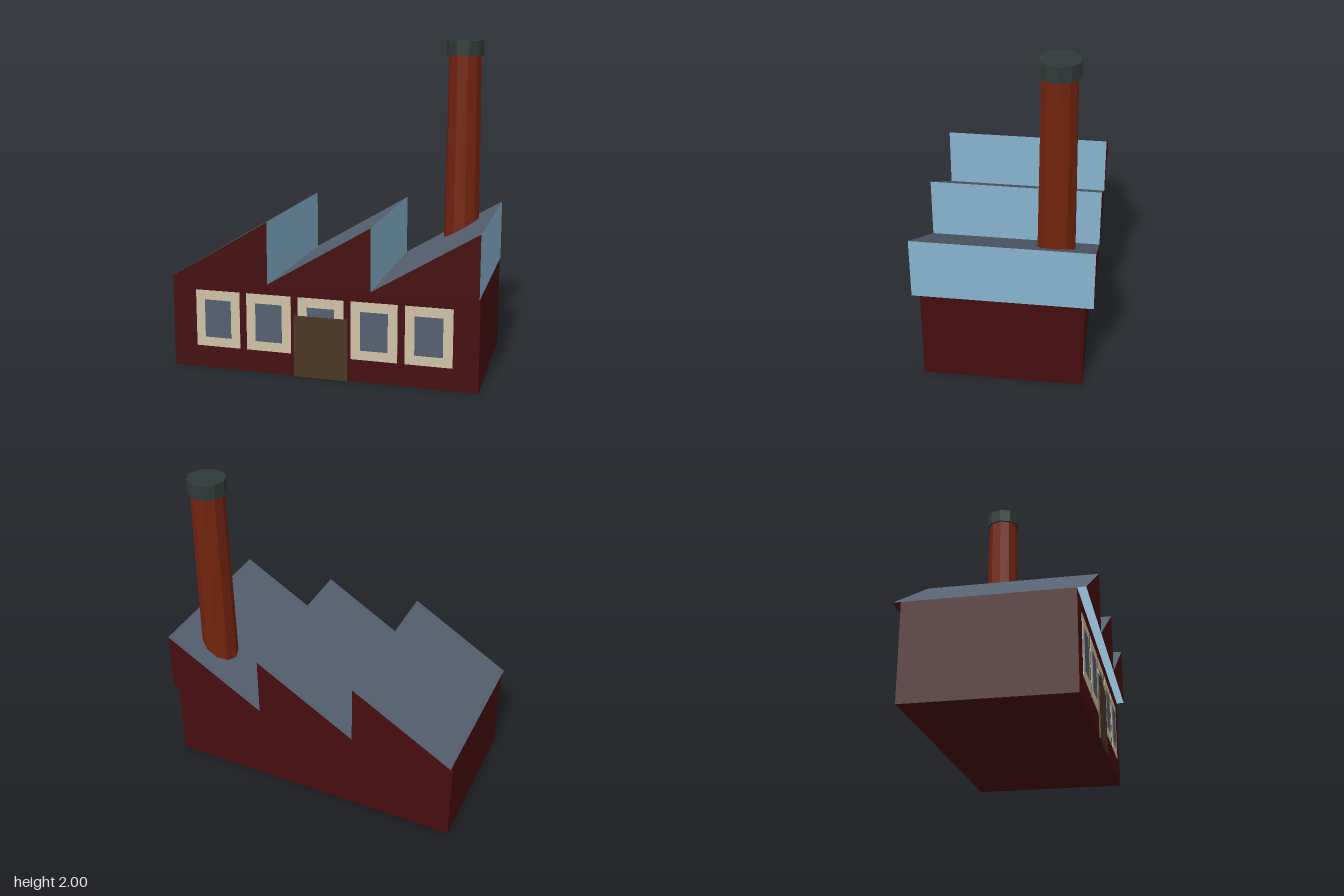
import * as THREE from 'three';

const mat = (name, color, extra = {}) => {
  const m = new THREE.MeshStandardMaterial({ color, ...extra });
  m.name = name;
  return m;
};

// Flat panel from coplanar corners, listed counter-clockwise
function panel(name, corners, material) {
  const g = new THREE.BufferGeometry();
  g.setAttribute('position', new THREE.Float32BufferAttribute(corners.flat(), 3));
  g.setIndex(corners.length === 4 ? [0, 1, 2, 0, 2, 3] : [0, 1, 2]);
  g.computeVertexNormals();
  const mesh = new THREE.Mesh(g, material);
  mesh.name = name;
  return mesh;
}

function box(name, w, h, d, x, y, z, material) {
  const mesh = new THREE.Mesh(new THREE.BoxGeometry(w, h, d), material);
  mesh.name = name;
  mesh.position.set(x, y, z);
  return mesh;
}

export function createModel() {
  const open = { side: THREE.DoubleSide };
  const wall = mat('darkRedWall', 0x450d0f, open);
  const slate = mat('slate', 0x556071, open);
  const glass = mat('skylightGlass', 0x87b5d0, open);
  const cream = mat('creamFrame', 0xd0c3a5);
  const wood = mat('brownDoor', 0x4c3624);
  const brick = mat('chimneyBrick', 0x73240f, { flatShading: true });
  const iron = mat('darkCap', 0x2f3a38, { flatShading: true });

  const model = new THREE.Group();
  model.name = 'factory';
  const W = 0.95, eave = 0.573, ridge = 0.953, D = 0.475, R = 0.523;

  model.add(box('hall', 2 * W, eave, 2 * D, 0, eave / 2, 0, wall));

  // Saw-tooth roof, open underneath, overhanging front and back
  for (let i = 0; i < 3; i++) {
    const x0 = -W + (i * 2 * W) / 3, x1 = x0 + (2 * W) / 3;
    const tooth = new THREE.Group();
    tooth.name = 'roofTooth' + (i + 1);
    tooth.add(
      panel('roofSlope', [[x0, eave, R], [x1, ridge, R], [x1, ridge, -R], [x0, eave, -R]], slate),
      panel('skylight', [[x1, eave, R], [x1, eave, -R], [x1, ridge, -R], [x1, ridge, R]], glass),
      panel('frontGable', [[x0, eave, R], [x1, eave, R], [x1, ridge, R]], wall),
      panel('backGable', [[x1, eave, -R], [x0, eave, -R], [x1, ridge, -R]], wall)
    );
    model.add(tooth);
  }

  // Front windows: frame plate with a pane on it
  for (let i = -2; i <= 2; i++) {
    const win = new THREE.Group();
    win.name = 'window' + (i + 3);
    win.position.set(i * 0.328, 0.317, D);
    win.add(
      box('windowFrame', 0.284, 0.356, 0.004, 0, 0, 0.001, cream),
      box('windowPane', 0.168, 0.238, 0.004, 0, 0, 0.003, slate)
    );
    model.add(win);
  }

  model.add(box('door', 0.334, 0.381, 0.009, 0, 0.1905, D + 0.0045, wood));

  // Ten-sided tapered chimney and its cap
  const chimney = new THREE.Group();
  chimney.name = 'chimney';
  chimney.position.set(0.72, 0, -0.288);
  chimney.rotation.y = Math.PI / 2;
  const shaft = new THREE.Mesh(new THREE.CylinderGeometry(0.101, 0.115, 1.4, 10), brick);
  shaft.name = 'chimneyShaft';
  shaft.position.y = 1.22;
  const cap = new THREE.Mesh(new THREE.CylinderGeometry(0.117, 0.117, 0.09, 10), iron);
  cap.name = 'chimneyCap';
  cap.position.y = 1.955;
  chimney.add(shaft, cap);
  model.add(chimney);

  return model;
}
